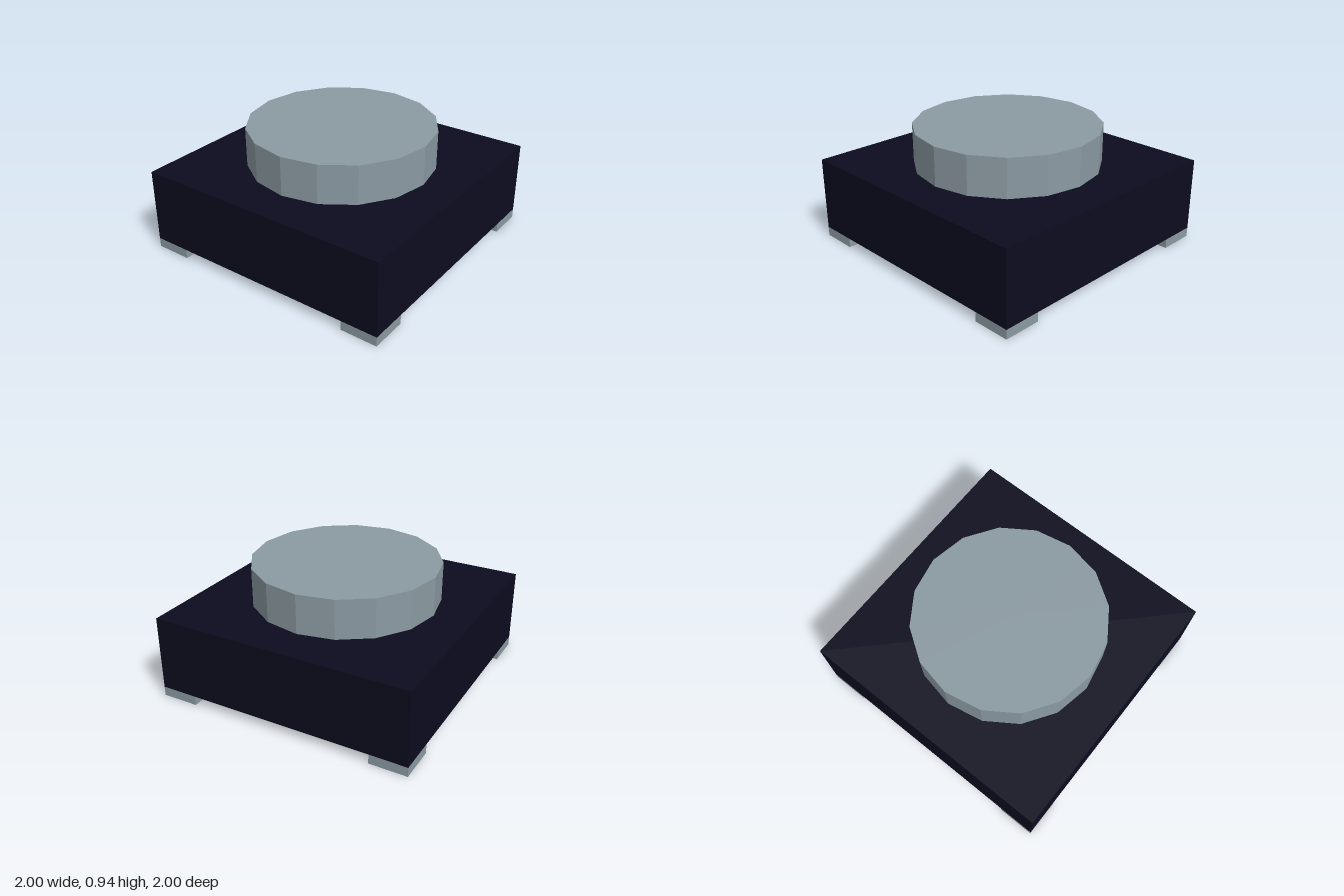
import * as THREE from 'three';

export function createModel() {
  const model = new THREE.Group();
  const darkNavy = new THREE.MeshStandardMaterial({ name: 'darkNavy', color: 0x0c0c1f, flatShading: true });
  const steelGrey = new THREE.MeshStandardMaterial({ name: 'steelGrey', color: 0x8b9aa2, flatShading: true });

  const add = (name, geometry, material, x, y, z) => {
    const mesh = new THREE.Mesh(geometry, material);
    mesh.name = name;
    mesh.position.set(x, y, z);
    model.add(mesh);
  };

  const footHeight = 0.072, footSize = 0.286;
  const bodyTop = 0.643, capTop = 0.943;

  // Square housing
  const bodyHeight = bodyTop - footHeight;
  add('body', new THREE.BoxGeometry(2, bodyHeight, 2), darkNavy, 0, footHeight + bodyHeight / 2, 0);

  // Sixteen-sided round button on top
  const capHeight = capTop - bodyTop;
  add('button', new THREE.CylinderGeometry(0.714, 0.714, capHeight, 16), steelGrey, 0, bodyTop + capHeight / 2, 0);

  // One foot flush with each corner
  const footGeometry = new THREE.BoxGeometry(footSize, footHeight, footSize);
  const offset = 1 - footSize / 2;
  for (const [xSide, sx] of [['Left', 1], ['Right', -1]]) {
    for (const [zSide, sz] of [['front', 1], ['back', -1]]) {
      add(`${zSide}${xSide}Foot`, footGeometry, steelGrey, sx * offset, footHeight / 2, sz * offset);
    }
  }
  return model;
}
